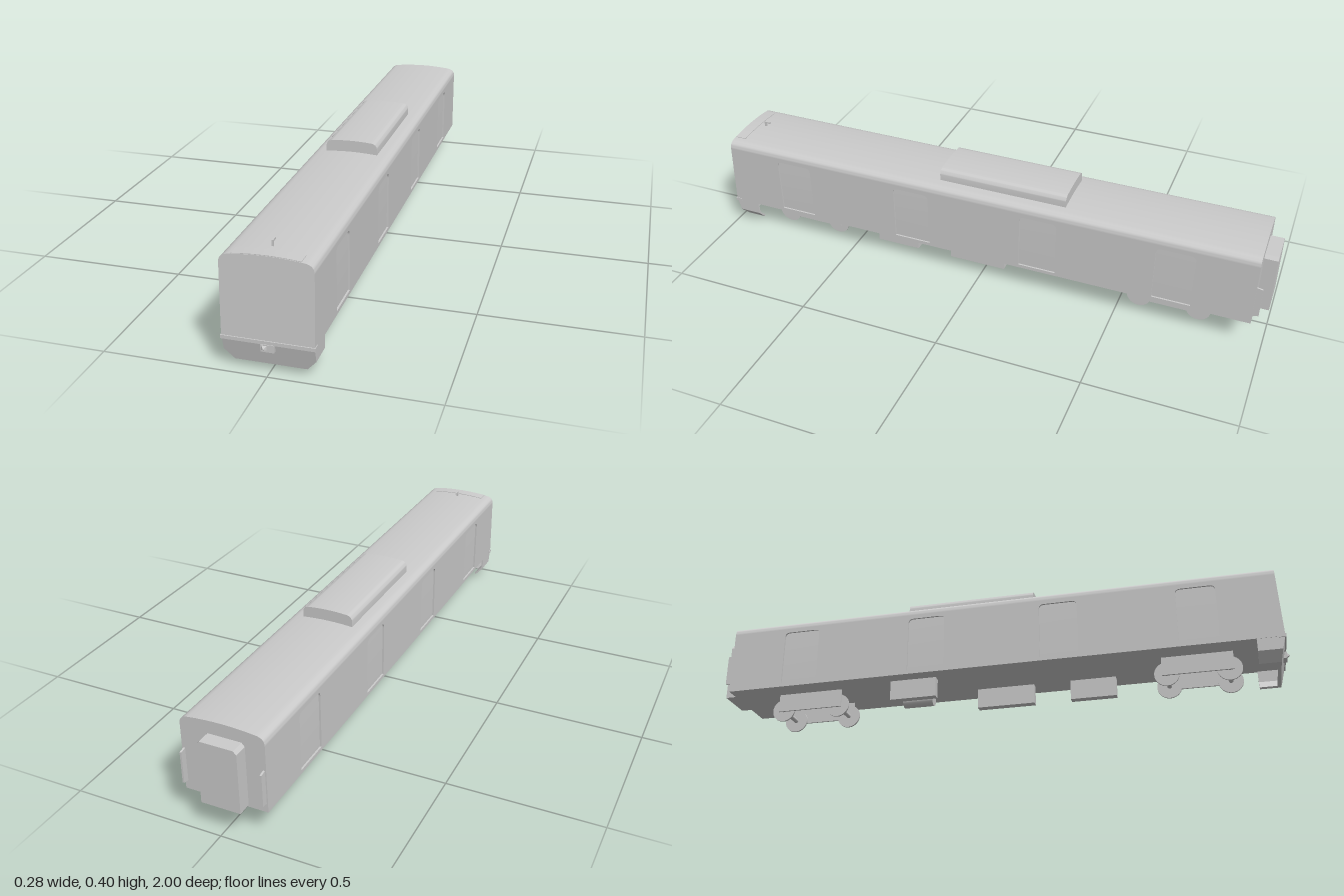
import * as THREE from 'three';
import { toCreasedNormals } from 'three/addons/utils/BufferGeometryUtils.js';

export function createModel() {
  const model = new THREE.Group();
  const mat = new THREE.MeshStandardMaterial({ color: 0xcccccc });

  const add = (name, geometry, x = 0, y = 0, z = 0) => {
    const mesh = new THREE.Mesh(geometry, mat);
    mesh.name = name;
    mesh.position.set(x, y, z);
    model.add(mesh);
    return mesh;
  };
  // Box given by its limits
  const box = (name, x0, x1, y0, y1, z0, z1) =>
    add(name, new THREE.BoxGeometry(x1 - x0, y1 - y0, z1 - z0), (x0 + x1) / 2, (y0 + y1) / 2, (z0 + z1) / 2);
  const polygon = (points) => new THREE.Shape(points.map(([x, y]) => new THREE.Vector2(x, y)));
  const extrude = (shape, depth) =>
    new THREE.ExtrudeGeometry(shape, { depth, bevelEnabled: false, curveSegments: 8 });
  // Moves the vertices ahead of z = 0.9 onto a leaning front
  const lean = (geometry, zAt) => {
    const p = geometry.attributes.position;
    for (let i = 0; i < p.count; i++) if (p.getZ(i) > 0.9) p.setZ(i, zAt(p.getY(i)));
    geometry.computeVertexNormals();
    return geometry;
  };
  const cabLean = (y) => 0.985 - (y - 0.1) * 0.04;

  // Body core with rounded roof, set back behind the side walls
  const W = 0.137, T = 0.006, BACK = -0.955;
  const section = new THREE.Shape();
  section.moveTo(-W + T, 0.098);
  section.lineTo(W - T, 0.098);
  section.lineTo(W - T, 0.325);
  section.lineTo(W, 0.325);
  section.bezierCurveTo(W, 0.342, 0.127, 0.351, 0.108, 0.353);
  section.quadraticCurveTo(0, 0.366, -0.108, 0.353);
  section.bezierCurveTo(-0.127, 0.351, -W, 0.342, -W, 0.325);
  section.lineTo(-W + T, 0.325);
  const core = extrude(section, 1.94).translate(0, 0, BACK);
  add('body', toCreasedNormals(lean(core, cabLean), 0.6));

  // Side walls with recessed doors
  const wall = polygon([[BACK, 0.098], [0.985, 0.098], [0.985, 0.325], [BACK, 0.325]]);
  for (const c of [0.715, 0.25, -0.22, -0.69]) {
    const a = c - 0.066, b = c + 0.066, r = 0.018;
    const door = new THREE.Path();
    door.moveTo(a, 0.11);
    door.lineTo(a, 0.31 - r);
    door.quadraticCurveTo(a, 0.31, a + r, 0.31);
    door.lineTo(b - r, 0.31);
    door.quadraticCurveTo(b, 0.31, b, 0.31 - r);
    door.lineTo(b, 0.11);
    wall.holes.push(door);
  }
  for (const [name, x] of [['leftSideWall', W], ['rightSideWall', -W + T]]) {
    const g = extrude(wall, T).rotateY(-Math.PI / 2).translate(x, 0, 0);
    add(name, lean(g, cabLean));
  }

  // Front band and thin rim over the cab roof
  box('frontBand', -0.139, 0.139, 0.095, 0.106, 0.965, 0.988);
  const rim = new THREE.Shape();
  rim.moveTo(-0.1, 0.351);
  rim.lineTo(0.1, 0.351);
  rim.lineTo(0.1, 0.356);
  rim.quadraticCurveTo(0, 0.367, -0.1, 0.356);
  add('cabRoofRim', toCreasedNormals(extrude(rim, 0.04), 0.5), 0, 0, 0.933);

  // Skirt below the cab: front plate and angled side returns
  const skirtLean = (y) => 0.965 + (y - 0.022) * 0.25;
  const plate = extrude(polygon([[-0.107, 0.022], [0.107, 0.022], [0.136, 0.055], [0.136, 0.1],
    [-0.136, 0.1], [-0.136, 0.055]]), 0.012);
  const pp = plate.attributes.position;
  for (let i = 0; i < pp.count; i++) pp.setZ(i, pp.getZ(i) - 0.012 + skirtLean(pp.getY(i)));
  plate.computeVertexNormals();
  add('skirtFront', plate);
  for (const s of [1, -1]) {
    const strip = polygon([[0.136, 0.1], [0.136, 0.055], [0.107, 0.022], [0.102, 0.027],
      [0.13, 0.058], [0.13, 0.1]].map(([x, y]) => [s * x, y]));
    const g = extrude(strip, 0.075).translate(0, 0, 0.895);
    add('skirtSide', lean(g, (y) => skirtLean(y) - 0.004));
  }

  // Front coupler with a pointed guide
  box('coupler', -0.02, 0.02, 0.073, 0.096, 0.95, 0.99);
  const guide = new THREE.ConeGeometry(0.012, 0.012, 4).toNonIndexed();
  guide.rotateY(Math.PI / 4).rotateX(Math.PI / 2);
  guide.computeVertexNormals();
  add('couplerGuide', guide, -0.009, 0.0855, 0.994);

  // Roof unit
  const unit = new THREE.Shape();
  unit.moveTo(-0.088, 0.345);
  unit.lineTo(0.088, 0.345);
  unit.lineTo(0.088, 0.377);
  unit.quadraticCurveTo(0.086, 0.393, 0.068, 0.395);
  unit.quadraticCurveTo(0, 0.402, -0.068, 0.395);
  unit.quadraticCurveTo(-0.086, 0.393, -0.088, 0.377);
  add('roofUnit', toCreasedNormals(extrude(unit, 0.455), 0.5), 0, 0, -0.3);

  // Antenna
  box('antennaPost', -0.006, -0.001, 0.355, 0.377, 0.905, 0.912);
  box('antennaArm', -0.006, -0.001, 0.372, 0.378, 0.888, 0.912);

  // Gangway and the fins beside it on the back end
  const gangway = polygon([[-0.073, 0.104], [0.056, 0.104], [0.056, 0.305], [0.046, 0.316],
    [-0.063, 0.316], [-0.073, 0.305]]);
  add('gangway', extrude(gangway, 0.05), 0, 0, -1);
  for (const s of [1, -1]) {
    const fin = polygon([[-0.95, 0.127], [-0.95, 0.243], [-0.975, 0.238], [-0.975, 0.132]]);
    add('endFin', extrude(fin, 0.006).rotateY(-Math.PI / 2), s * 0.13 + 0.003);
  }

  // Equipment under the floor
  box('equipmentBox', 0.055, 0.082, 0.028, 0.1, 0.255, 0.415);
  box('equipmentBox', 0.055, 0.082, 0.028, 0.1, -0.08, 0.125);
  box('equipmentBox', -0.088, -0.062, 0.028, 0.1, -0.36, -0.195);
  add('airTank', new THREE.CylinderGeometry(0.023, 0.023, 0.11, 24).rotateX(Math.PI / 2), 0.06, 0.077, -0.3);

  // Bogies: side frames, axles and wheels
  for (const zc of [0.7, -0.672]) {
    for (const x of [0.07, -0.06]) box('bogieFrame', x - 0.003, x + 0.003, 0.034, 0.1, zc - 0.118, zc + 0.118);
    for (const dz of [0.103, -0.103]) {
      add('axle', new THREE.CylinderGeometry(0.008, 0.008, 0.125, 12).rotateZ(Math.PI / 2), 0.005, 0.042, zc + dz);
      for (const x of [0.06, -0.05])
        add('wheel', new THREE.CylinderGeometry(0.042, 0.042, 0.006, 28).rotateZ(Math.PI / 2), x, 0.042, zc + dz);
    }
  }
  return model;
}
